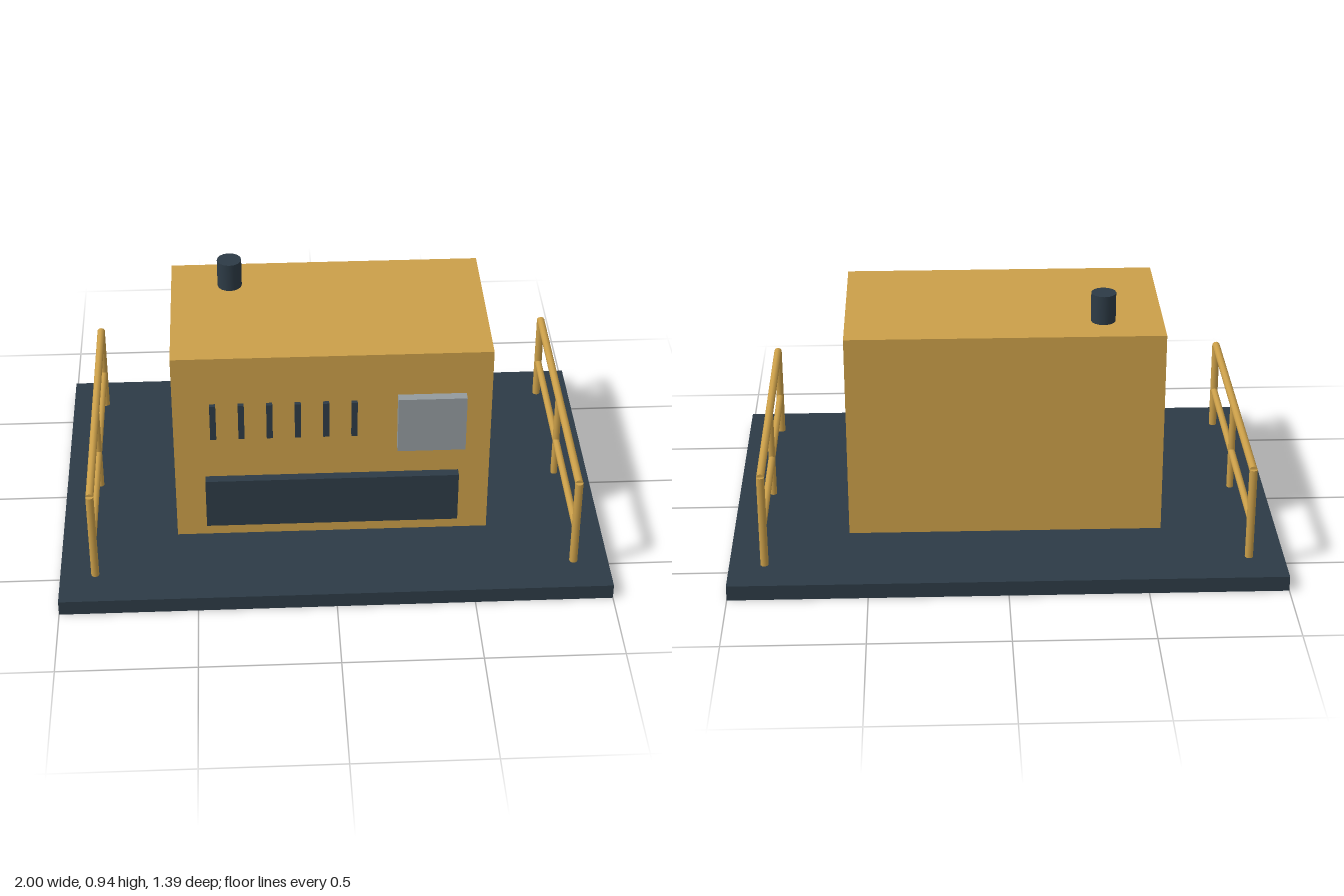
import * as THREE from 'three';

export function createModel() {
  const model = new THREE.Group();
  const material = (name, color) => {
    const m = new THREE.MeshStandardMaterial({ color });
    m.name = name;
    return m;
  };
  const ochre = material('ochre', 0xcb9f49);
  const slate = material('slate', 0x2d3b46);
  const grey = material('grey', 0x939b9e);

  const add = (parent, name, geometry, mat, x, y, z) => {
    const mesh = new THREE.Mesh(geometry, mat);
    mesh.name = name;
    mesh.position.set(x, y, z);
    parent.add(mesh);
    return mesh;
  };
  // Box given by its lower and upper corners
  const box = (name, mat, [x0, y0, z0], [x1, y1, z1]) =>
    add(model, name, new THREE.BoxGeometry(x1 - x0, y1 - y0, z1 - z0), mat,
      (x0 + x1) / 2, (y0 + y1) / 2, (z0 + z1) / 2);

  const floor = 0.057, front = 0.322;

  // Platform and housing
  box('platform', slate, [-1, 0, -0.695], [1, floor, 0.695]);
  box('housing', ochre, [-0.575, floor, -front], [0.575, 0.835, front]);

  // Front fittings
  box('lowerPanel', slate, [-0.465, 0.12, front], [0.462, 0.322, 0.357]);
  box('controlPanel', grey, [0.235, 0.437, front], [0.482, 0.662, 0.357]);
  for (let i = 0; i < 6; i++) {
    const x = -0.431 + i * 0.102;
    box('ventSlot', slate, [x - 0.011, 0.497, front], [x + 0.011, 0.642, 0.338]);
  }

  // Exhaust stack on the roof
  add(model, 'exhaust', new THREE.CylinderGeometry(0.045, 0.045, 0.109, 16), slate, -0.358, 0.889, -0.175);

  // Guard rails along both sides
  for (const side of [-1, 1]) {
    const rail = new THREE.Group();
    rail.name = side > 0 ? 'leftGuardRail' : 'rightGuardRail';
    rail.position.x = side * 0.873;
    model.add(rail);
    for (const z of [-0.543, 0, 0.543]) {
      const r = z ? 0.015 : 0.013;
      const top = z ? 0.41 : 0.4;
      add(rail, 'post', new THREE.CylinderGeometry(r, r, top - floor, 10), ochre, 0, (top + floor) / 2, z);
    }
    for (const [name, y, r] of [['topRail', 0.407, 0.0145], ['middleRail', 0.208, 0.013]]) {
      add(rail, name, new THREE.CylinderGeometry(r, r, 1.086, 10), ochre, 0, y, 0).rotation.x = Math.PI / 2;
    }
  }
  return model;
}
